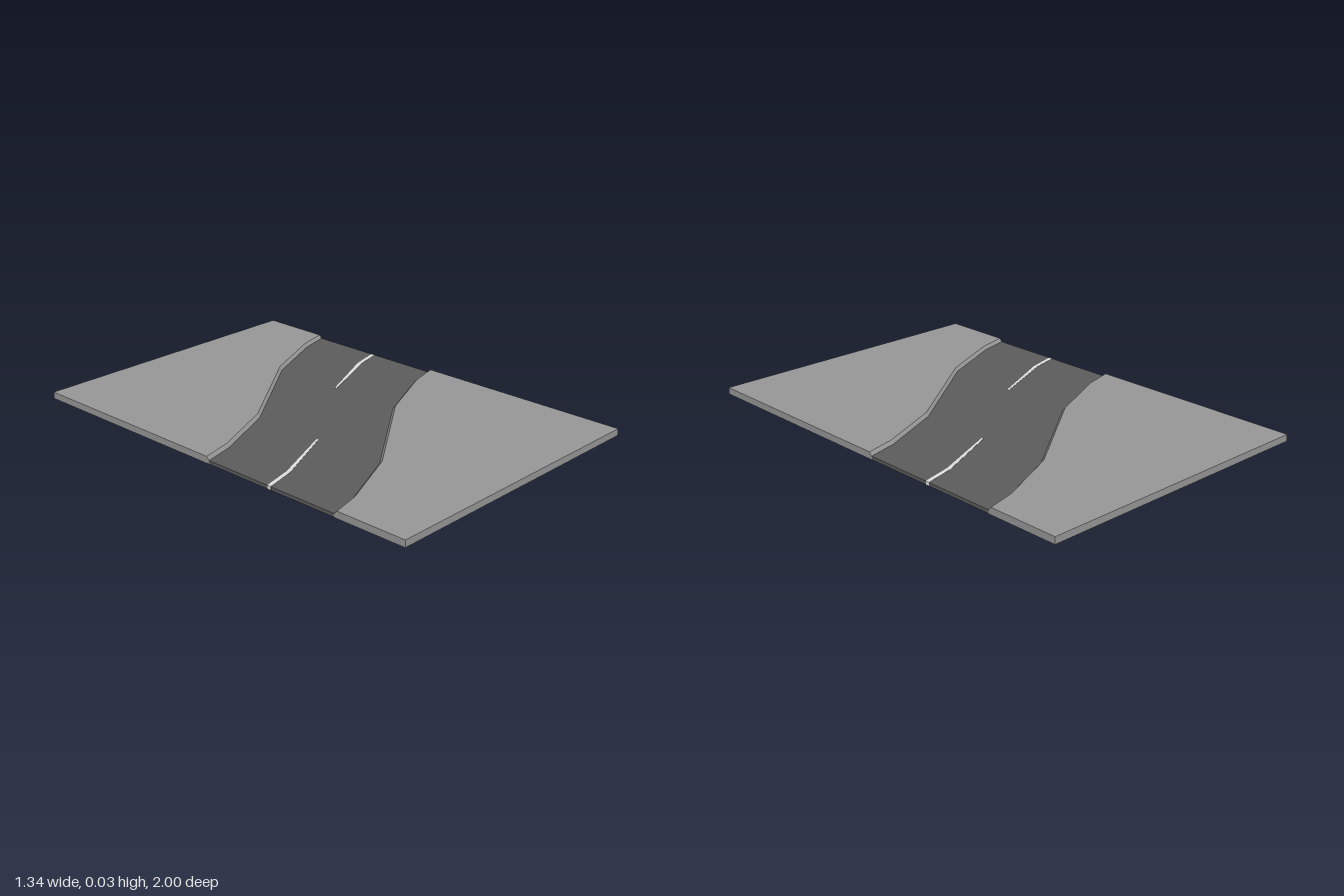
import * as THREE from 'three';

const HALF_X = 0.667, TOP = 0.03, ROAD = 0.016;
// Centre line of the bending road: [x, z]
const PATH = [[-HALF_X, 0.333], [-0.53, 0.298], [-0.23, 0.165], [0.23, -0.165], [0.53, -0.298], [HALF_X, -0.333]];

// Solid swept along x; section(c, x) returns a convex loop of [z, y]
function sweep(path, section) {
  const rings = path.map(([x, c]) => section(c, x).map(([z, y]) => [x, y, z]));
  const n = rings[0].length, pos = [];
  const tri = (a, b, c) => pos.push(...a, ...b, ...c);
  for (let i = 0; i < rings.length - 1; i++) {
    const a = rings[i], b = rings[i + 1];
    for (let j = 0; j < n; j++) {
      const k = (j + 1) % n;
      tri(a[j], a[k], b[k]);
      tri(a[j], b[k], b[j]);
    }
  }
  const first = rings[0], last = rings[rings.length - 1];
  for (let j = 1; j < n - 1; j++) {
    tri(last[0], last[j], last[j + 1]);
    tri(first[0], first[j + 1], first[j]);
  }
  const g = new THREE.BufferGeometry();
  g.setAttribute('position', new THREE.Float32BufferAttribute(pos, 3));
  g.computeVertexNormals();
  return g;
}

const strip = (half, y0, y1) => (c) => [[c - half, y0], [c - half, y1], [c + half, y1], [c + half, y0]];

export function createModel() {
  const model = new THREE.Group();
  model.name = 'roadTile';
  const material = (name, color) => {
    const m = new THREE.MeshStandardMaterial({ color });
    m.name = name;
    return m;
  };
  const paving = material('pavingGrey', 0x969696);
  const asphalt = material('asphaltGrey', 0x5b5b5b);
  const paint = material('linePaint', 0xdedede);
  const add = (name, geometry, mat) => {
    const mesh = new THREE.Mesh(geometry, mat);
    mesh.name = name;
    model.add(mesh);
    return mesh;
  };

  // Pavements with a sloped kerb; the front one is the back one turned half round
  const pavement = sweep(PATH, (c) => [
    [-1, 0], [-1, TOP], [c - 0.346, TOP], [c - 0.333, ROAD], [c - 0.333, 0],
  ]);
  add('backPavement', pavement, paving);
  add('frontPavement', pavement, paving).rotation.y = Math.PI;

  // Sunken road surface
  add('road', sweep(PATH, strip(0.333, 0.001, ROAD)), asphalt);

  // Dashes at both ends, narrowing toward the middle
  const dash = sweep([[-HALF_X - 0.0005, 0.333], ...PATH.slice(1, 3)], (c, x) =>
    strip(x < -0.5 ? 0.009 : 0.005, 0.001, ROAD + 0.001)(c));
  add('leftLaneDash', dash, paint).rotation.y = Math.PI;
  add('rightLaneDash', dash, paint);

  // Thin seam along the underside
  add('undersideSeam', sweep(PATH, strip(0.005, 0, 0.002)), paint);

  return model;
}
